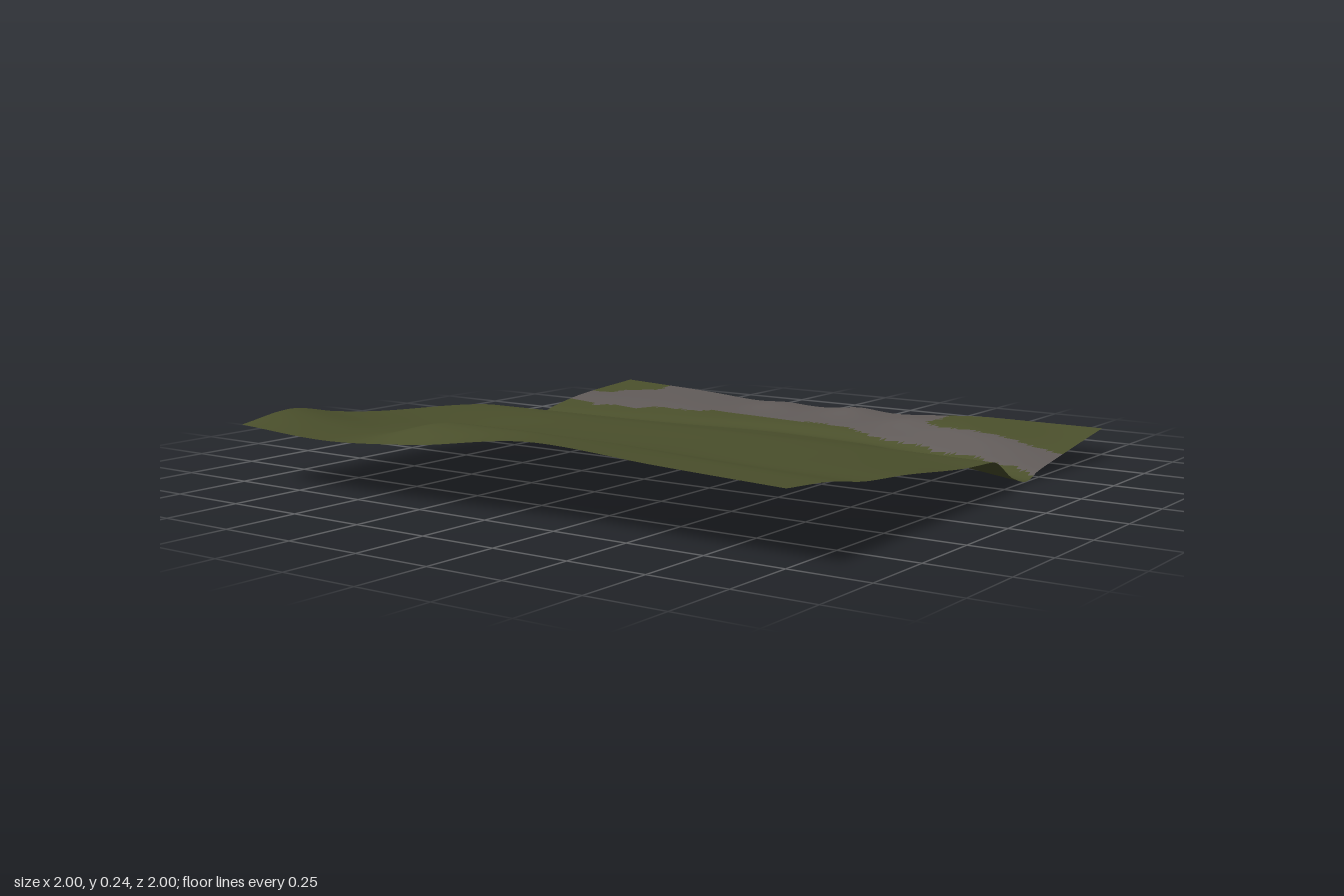
import * as THREE from 'three';

const SEGMENTS = 100;

// Monotone cubic curve through (xs, ys): smooth, with no overshoot
function curve(xs, ys, x) {
  const n = xs.length;
  const slope = i => (ys[i + 1] - ys[i]) / (xs[i + 1] - xs[i]);
  const tangent = i => {
    if (i === 0) return slope(0);
    if (i === n - 1) return slope(n - 2);
    const a = slope(i - 1), b = slope(i);
    return a * b <= 0 ? 0 : (2 * a * b) / (a + b);
  };
  let i = 0;
  while (i < n - 2 && x > xs[i + 1]) i++;
  const h = xs[i + 1] - xs[i], t = (x - xs[i]) / h, t2 = t * t, t3 = t2 * t;
  return (2 * t3 - 3 * t2 + 1) * ys[i] + (t3 - 2 * t2 + t) * h * tangent(i)
    + (3 * t2 - 2 * t3) * ys[i + 1] + (t3 - t2) * h * tangent(i + 1);
}

// Winding course of the ditch
const ditch = x => curve([-1, -0.5, 0, 0.3, 0.6, 1], [-0.44, -0.56, -0.65, -0.64, -0.55, -0.41], x);

// Height lines running across the land, from back to front
const columns = [-1, -0.65, -0.3, 0.2, 0.6, 1];
const lines = [
  { z: () => -1, y: [0.1, 0.085, 0.065, 0.068, 0.09, 0.09] },
  { z: x => ditch(x) - 0.25, y: [0.078, 0.07, 0.058, 0.062, 0.08, 0.045] },
  { z: x => ditch(x) - 0.08, y: [0.052, 0.046, 0.046, 0.04, 0.036, 0.02] },
  { z: ditch, y: [0.034, 0.03, 0.026, 0.018, 0.012, 0] },
  { z: x => ditch(x) + 0.1, y: [0.05, 0.046, 0.043, 0.038, 0.034, 0.025] },
  { z: () => -0.17, y: [0.1, 0.102, 0.103, 0.104, 0.102, 0.096] },
  { z: () => 0, y: [0.12, 0.122, 0.127, 0.132, 0.125, 0.105] },
  { z: () => 0.4, y: [0.148, 0.135, 0.15, 0.156, 0.155, 0.145] },
  { z: () => 0.6, y: [0.172, 0.148, 0.168, 0.175, 0.168, 0.16] },
  { z: () => 0.8, y: [0.205, 0.158, 0.222, 0.222, 0.205, 0.19] },
  { z: () => 1, y: [0.18, 0.165, 0.185, 0.24, 0.22, 0.205] },
];

// Low mounds on the gravel: x, z, radius, height
const mounds = [[-0.26, -0.94, 0.09, 0.012], [0.06, -0.97, 0.09, 0.014], [0.34, -0.88, 0.08, 0.01]];

function height(x, z) {
  let y = curve(lines.map(l => l.z(x)), lines.map(l => curve(columns, l.y, x)), z);
  for (const [mx, mz, r, h] of mounds) y += h * Math.exp(-((x - mx) ** 2 + (z - mz) ** 2) / (r * r));
  return y;
}

// Outline of the gravel bed as x, z pairs
const gravelOutline = [
  [-0.82, -1.1], [-0.79, -0.92], [-0.9, -0.83], [-0.92, -0.77], [-1.1, -0.75], [-1.1, -0.63],
  [-0.9, -0.62], [-0.86, -0.6], [-0.83, -0.63], [-0.7, -0.645], [-0.65, -0.69], [-0.47, -0.72],
  [-0.43, -0.76], [-0.2, -0.76], [0.05, -0.77], [0.17, -0.75], [0.23, -0.72], [0.36, -0.68],
  [0.5, -0.65], [0.58, -0.6], [0.75, -0.57], [0.8, -0.53], [0.9, -0.52], [1.02, -0.45],
  [1.02, -0.67], [0.9, -0.7], [0.8, -0.74], [0.6, -0.78], [0.5, -0.8], [0.4, -0.86],
  [0.43, -0.92], [0.42, -1.1],
];

function onGravel(x, z) {
  let inside = false;
  gravelOutline.forEach(([ax, az], i) => {
    const [bx, bz] = gravelOutline[(i + 1) % gravelOutline.length];
    if ((az > z) !== (bz > z) && x < ax + ((z - az) / (bz - az)) * (bx - ax)) inside = !inside;
  });
  return inside;
}

export function createModel() {
  const group = new THREE.Group();
  group.name = 'terrain';
  const grass = new THREE.MeshStandardMaterial({ color: 0x4b502c, side: THREE.DoubleSide });
  grass.name = 'grass green';
  const gravel = new THREE.MeshStandardMaterial({ color: 0x615b59, side: THREE.DoubleSide });
  gravel.name = 'gravel grey';

  // One smooth height field
  const land = new THREE.PlaneGeometry(2, 2, SEGMENTS, SEGMENTS).rotateX(-Math.PI / 2);
  const p = land.attributes.position;
  for (let i = 0; i < p.count; i++) p.setY(i, height(p.getX(i), p.getZ(i)));
  land.computeVertexNormals();

  // Sort its triangles into grass and gravel
  const index = land.index.array, grassFaces = [], gravelFaces = [];
  for (let i = 0; i < index.length; i += 3) {
    const [a, b, c] = [index[i], index[i + 1], index[i + 2]];
    const x = (p.getX(a) + p.getX(b) + p.getX(c)) / 3;
    const z = (p.getZ(a) + p.getZ(b) + p.getZ(c)) / 3;
    (onGravel(x, z) ? gravelFaces : grassFaces).push(a, b, c);
  }

  const addPart = (name, faces, material) => {
    const part = land.clone();
    part.setIndex(faces);
    const mesh = new THREE.Mesh(part.toNonIndexed(), material);
    mesh.name = name;
    group.add(mesh);
  };
  addPart('grassland', grassFaces, grass);
  addPart('gravelBed', gravelFaces, gravel);
  return group;
}
